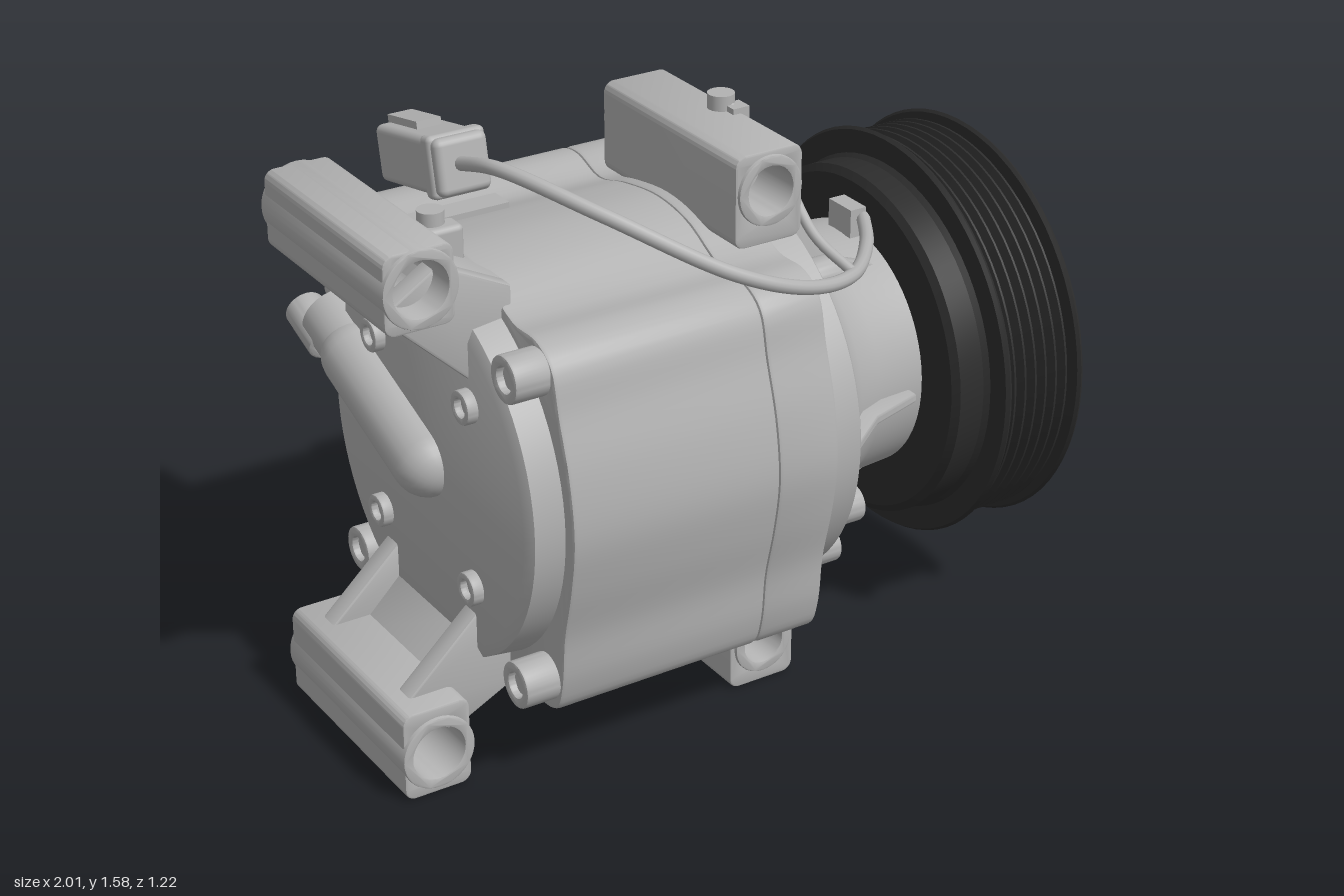
import * as THREE from 'three';
import { toCreasedNormals } from 'three/addons/utils/BufferGeometryUtils.js';
import { RoundedBoxGeometry } from 'three/addons/geometries/RoundedBoxGeometry.js';

const CY = 0.77, CZ = 0.04; // shaft axis runs along x through this point

export function createModel() {
  const root = new THREE.Group();
  const metal = new THREE.MeshStandardMaterial({ color: 0xb2b2b2 });
  metal.name = 'cast aluminium';
  const black = new THREE.MeshStandardMaterial({ color: 0x2c2c2c });
  black.name = 'black steel';

  function add(name, geo, mat = metal, parent = root) {
    const m = new THREE.Mesh(geo, mat);
    m.name = name;
    parent.add(m);
    return m;
  }
  const poly = (pts) => new THREE.Shape(pts.map(([x, y]) => new THREE.Vector2(x, y)));
  const circle = (x, y, r) => new THREE.Path().absarc(x, y, r, 0, Math.PI * 2, true);
  // extrude an xy outline from z0 to z1
  function slab(shape, z0, z1, bevel = 0.008) {
    const g = new THREE.ExtrudeGeometry(shape, {
      depth: z1 - z0 - 2 * bevel, bevelEnabled: bevel > 0, bevelThickness: bevel,
      bevelSize: bevel, bevelOffset: -bevel, bevelSegments: 2, curveSegments: 20,
    });
    g.translate(0, 0, z0 + bevel);
    return toCreasedNormals(g, 0.6);
  }
  // extrude an outline drawn in (-z, y) from x0 to x1
  const prism = (shape, x0, x1, bevel) => slab(shape, x0, x1, bevel).rotateY(Math.PI / 2);
  // turn a profile of [x, radius] around the shaft
  function turned(profile, crease = 0.5) {
    const g = new THREE.LatheGeometry(profile.map(([x, r]) => new THREE.Vector2(r, x)), 72);
    return toCreasedNormals(g.rotateZ(-Math.PI / 2), crease).translate(0, CY, CZ);
  }
  // cylinder along x
  const rod = (x0, x1, y, z, r, sides = 24) =>
    new THREE.CylinderGeometry(r, r, x1 - x0, sides).rotateZ(-Math.PI / 2).translate((x0 + x1) / 2, y, z);
  function roundRect(x0, y0, x1, y1, r) {
    const s = new THREE.Shape();
    s.absarc(x1 - r, y1 - r, r, 0, Math.PI / 2).absarc(x0 + r, y1 - r, r, Math.PI / 2, Math.PI);
    s.absarc(x0 + r, y0 + r, r, Math.PI, Math.PI * 1.5).absarc(x1 - r, y0 + r, r, Math.PI * 1.5, Math.PI * 2);
    return s;
  }

  // main housing: round barrel with four corner lobes, in two castings
  const outline = new THREE.CatmullRomCurve3([
    [-0.04, 1.34], [0.12, 1.32], [0.25, 1.29], [0.36, 1.32], [0.43, 1.305], [0.452, 1.22], [0.465, 1.08],
    [0.51, 0.93], [0.53, 0.77], [0.51, 0.61], [0.465, 0.46], [0.452, 0.32], [0.42, 0.24], [0.35, 0.225],
    [0.24, 0.26], [0.1, 0.215], [-0.04, 0.2], [-0.19, 0.215], [-0.33, 0.26], [-0.44, 0.23], [-0.51, 0.25],
    [-0.54, 0.33], [-0.555, 0.47], [-0.59, 0.62], [-0.61, 0.77], [-0.59, 0.93], [-0.545, 1.08],
    [-0.51, 1.2], [-0.44, 1.245], [-0.33, 1.25], [-0.18, 1.32],
  ].map(([u, y]) => new THREE.Vector3(u, y, 0)), true);
  const bodyShape = new THREE.Shape(outline.getPoints(140).slice(0, -1).map((p) => new THREE.Vector2(p.x, p.y)));
  add('rearHousing', prism(bodyShape, -0.65, -0.05, 0.01));
  add('middleHousing', prism(bodyShape, -0.05, 0.13, 0.01));
  add('frontFlange', turned([[0.1, 0.4], [0.1, 0.55], [0.21, 0.55], [0.225, 0.53], [0.225, 0.4]]));
  add('rearCover', turned([[-0.745, 0], [-0.745, 0.49], [-0.73, 0.52], [-0.64, 0.53]]));
  add('nose', turned([[0.2, 0.51], [0.24, 0.49], [0.28, 0.43], [0.34, 0.38], [0.42, 0.35], [0.58, 0.34]], 0.9));

  // curved strengthening fins between flange, mounts and nose
  const flip = (pts) => pts.map(([x, y]) => [x, 2 * CY - y]);
  const fin = [[0.1, 1.46], [0.18, 1.48], [0.21, 1.38], [0.26, 1.28], [0.34, 1.18], [0.44, 1.1], [0.55, 1.06], [0.55, 0.98], [0.1, 0.98]];
  for (const z of [0.19, -0.12]) {
    add('topFin', slab(poly(fin), z - 0.02, z + 0.02));
    add('bottomFin', slab(poly(flip(fin)), z - 0.02, z + 0.02));
  }
  const sideFin = poly([[0.2, 0.53], [0.24, 0.51], [0.36, 0.42], [0.52, 0.37], [0.52, 0.25], [0.2, 0.25]]);
  for (const s of [1, -1]) {
    const f = add('sideFin', slab(sideFin, -0.015, 0.015).rotateX(s * Math.PI / 2));
    f.position.set(0, CY - 0.01, CZ);
  }

  // four mounting blocks, bored along z
  function mount(name, x0, y0, x1, y1, hx, hy, r) {
    const s = roundRect(x0, y0, x1, y1, 0.03);
    s.holes.push(circle(hx, hy, r));
    add(name, slab(s, -0.275, 0.35, 0.006));
    const ring = new THREE.Shape().absarc(hx, hy, r + 0.022, 0, Math.PI * 2);
    ring.holes.push(circle(hx, hy, r - 0.006));
    add(name + 'Bushing', slab(ring, -0.285, 0.36, 0.004));
  }
  mount('rearTopMount', -1, 1.3, -0.81, 1.51, -0.905, 1.41, 0.08);
  mount('rearBottomMount', -1, 0.005, -0.81, 0.255, -0.905, 0.125, 0.08);
  mount('frontTopMount', -0.02, 1.29, 0.18, 1.54, 0.08, 1.435, 0.072);
  mount('frontBottomMount', -0.02, 0.005, 0.18, 0.24, 0.08, 0.125, 0.065);

  // rear mount gussets: two outer fins joined by a web
  const gusset = [[-0.98, 1.32], [-0.82, 1.42], [-0.62, 1.32], [-0.62, 1.1], [-0.745, 1.1]];
  const web = [[-0.87, 1.32], [-0.82, 1.42], [-0.62, 1.32], [-0.62, 1.15], [-0.7, 1.15]];
  for (const [label, f] of [['Top', (p) => p], ['Bottom', flip]]) {
    for (const z of [-0.17, 0.25]) add('gusset' + label, slab(poly(f(gusset)), z - 0.03, z + 0.03));
    add('gussetWeb' + label, slab(poly(f(web)), -0.16, 0.24));
  }

  // bolts: washer face plus hollow head; dir is the way the head points
  function bolt(x, y, z, dir, len = 0.075, r = 0.05) {
    const head = new THREE.Shape().absarc(-z, y, r, 0, Math.PI * 2);
    head.holes.push(circle(-z, y, r * 0.55));
    const a = dir > 0 ? x : x - len;
    add('boltHead', prism(head, a, a + len, 0.006));
    add('boltSocket', rod(a + 0.02, a + len - 0.02, y, z, r * 0.6, 6));
  }
  for (const [z, y] of [[0.45, 1.17], [0.47, 0.33], [-0.38, 1.24], [-0.38, 0.31]]) bolt(-0.645, y, z, -1, 0.1, 0.062);
  for (const z of [-0.2, 0.28]) for (const y of [1.03, 0.52]) bolt(-0.74, y, z, -1, 0.035, 0.045);
  for (const [z, y] of [[0.46, 0.54], [0.36, 0.37], [0.33, 1.15], [-0.25, 1.18], [0.04, 1.26], [-0.29, 0.37], [0.04, 0.28]])
    bolt(0.22, y, z, 1);

  // belt pulley with V grooves, and its recessed face
  const pulley = [[0.56, 0.3], [0.56, 0.47], [0.575, 0.49], [0.65, 0.49], [0.665, 0.5], [0.665, 0.565], [0.675, 0.572], [0.685, 0.565]];
  for (let i = 0; i < 6; i++) {
    const x = 0.692 + i * 0.034;
    pulley.push([x, 0.518], [x + 0.014, 0.55], [x + 0.02, 0.55]);
  }
  pulley.push([0.896, 0.518], [0.904, 0.565], [0.912, 0.572], [0.922, 0.565], [0.922, 0.5], [0.925, 0.48],
    [0.9, 0.47], [0.9, 0.36], [0.918, 0.355], [0.918, 0.33], [0.908, 0.32], [0.908, 0]);
  add('pulley', turned(pulley), black);

  // clutch hub: triangular plate, three spring straps, rivets and shaft nut
  const corner = [[-0.04, 1.06], [0.205, 0.625], [-0.285, 0.625]];
  const tri = new THREE.Shape();
  corner.forEach(([u, y], i) => {
    const mid = [Math.PI / 2, -Math.PI / 6, -Math.PI * 5 / 6][i];
    tri.absarc(u, y, 0.055, mid + Math.PI / 3, mid - Math.PI / 3, true);
  });
  add('hubPlate', prism(tri, 0.9, 0.942, 0.004), black);
  const straps = [[[-0.17, 1.18], [-0.22, 0.75]], [[0.37, 0.68], [0.07, 0.94]], [[-0.33, 0.465], [0.06, 0.63]]];
  for (const [[u0, y0], [u1, y1]] of straps) {
    const a = Math.atan2(y1 - y0, u1 - u0), h = Math.PI / 2;
    const s = new THREE.Shape().absarc(u0, y0, 0.045, a + h, a + 3 * h).absarc(u1, y1, 0.045, a - h, a + h);
    add('springStrap', prism(s, 0.9, 0.932, 0.003), black);
    for (const t of [0, 0.35, 1])
      add('rivet', rod(0.92, 0.955, y0 + (y1 - y0) * t, -(u0 + (u1 - u0) * t), 0.035), black);
  }
  for (const [u, y] of corner) add('hubRivet', rod(0.92, 0.955, y, -u, 0.038), black);
  add('shaftNut', rod(0.9, 0.985, CY, CZ, 0.055, 6), black);
  add('shaftEnd', rod(0.9, 1, CY, CZ, 0.035), black);

  // refrigerant ports on the back, tilted a little upward
  const ports = new THREE.Group();
  ports.name = 'ports';
  ports.position.set(0, CY, CZ);
  ports.rotation.x = 0.36;
  root.add(ports);
  const disc = (x, y, z0, z1, r) =>
    new THREE.CylinderGeometry(r, r, z1 - z0, 28).rotateX(Math.PI / 2).translate(x, y, (z0 + z1) / 2);
  function tube(name, x, y, z0, z1, r, hole) {
    const s = new THREE.Shape().absarc(x, y, r, 0, Math.PI * 2);
    s.holes.push(circle(x, y, hole));
    add(name, slab(s, z0, z1, 0.006), metal, ports);
  }
  tube('suctionPort', 0.31, 0, -0.63, -0.2, 0.115, 0.085);
  add('suctionPortFloor', disc(0.31, 0, -0.45, -0.2, 0.09), metal, ports);
  tube('suctionPortEar', 0.27, -0.135, -0.63, -0.5, 0.045, 0.018);
  const pill = roundRect(-0.63, -0.065, -0.31, 0.065, 0.064);
  add('portPlate', slab(pill, -0.585, -0.4, 0.01), metal, ports);
  tube('largePort', -0.39, 0, -0.61, -0.5, 0.052, 0.03);
  for (const [x, y] of [[-0.5, 0.025], [-0.5, -0.025], [-0.565, 0]]) tube('smallPort', x, y, -0.6, -0.5, 0.024, 0.013);
  add('valveBody', disc(-0.73, 0, -0.56, -0.3, 0.09), metal, ports);
  tube('valveCap', -0.77, -0.04, -0.645, -0.5, 0.055, 0.03);
  tube('valveCap', -0.69, 0.05, -0.62, -0.5, 0.045, 0.022);
  add('rearDuct', new THREE.CapsuleGeometry(0.095, 0.4, 8, 24).rotateX(Math.PI / 2).translate(-0.74, 0, -0.2), metal, ports);

  // electrical connector on its bracket
  const plug = new THREE.Group();
  plug.name = 'connector';
  plug.position.set(-0.54, 1.455, -0.25);
  plug.rotation.x = -0.2;
  root.add(plug);
  add('connectorShell', new RoundedBoxGeometry(0.15, 0.15, 0.34, 3, 0.02), metal, plug);
  add('connectorLatch', new THREE.BoxGeometry(0.07, 0.03, 0.16).translate(0, 0.08, -0.08), metal, plug);
  add('connectorCollar', new RoundedBoxGeometry(0.165, 0.165, 0.05, 2, 0.015).translate(0, 0, 0.12), metal, plug);
  add('connectorBracket', new THREE.BoxGeometry(0.28, 0.015, 0.07).translate(-0.64, 1.425, 0.03));
  add('bracketPost', new RoundedBoxGeometry(0.13, 0.2, 0.12, 2, 0.015).translate(-0.72, 1.33, 0.06));
  add('bracketScrew', new THREE.CylinderGeometry(0.035, 0.035, 0.04, 20).translate(-0.72, 1.445, 0.065));
  add('clipScrew', new THREE.CylinderGeometry(0.036, 0.036, 0.05, 20).translate(0.14, 1.555, 0.04));
  add('wireClip', new THREE.BoxGeometry(0.05, 0.07, 0.05).translate(0.16, 1.52, 0.08));

  // wiring
  const wire = (name, pts, r) => add(name, new THREE.TubeGeometry(
    new THREE.CatmullRomCurve3(pts.map((p) => new THREE.Vector3(...p))), 80, r, 12));
  wire('mainWire', [[-0.55, 1.49, -0.1], [-0.53, 1.53, 0.08], [-0.38, 1.46, 0.32], [-0.12, 1.31, 0.49], [0.08, 1.23, 0.51],
    [0.28, 1.18, 0.43], [0.46, 1.16, 0.25], [0.57, 1.16, 0.08]], 0.019);
  wire('branchWire', [[0.15, 1.55, 0.06], [0.19, 1.44, 0.22], [0.22, 1.28, 0.35], [0.3, 1.18, 0.41]], 0.014);
  add('wireOutlet', new THREE.BoxGeometry(0.06, 0.08, 0.1).translate(0.54, 1.15, 0.06));
  return root;
}
